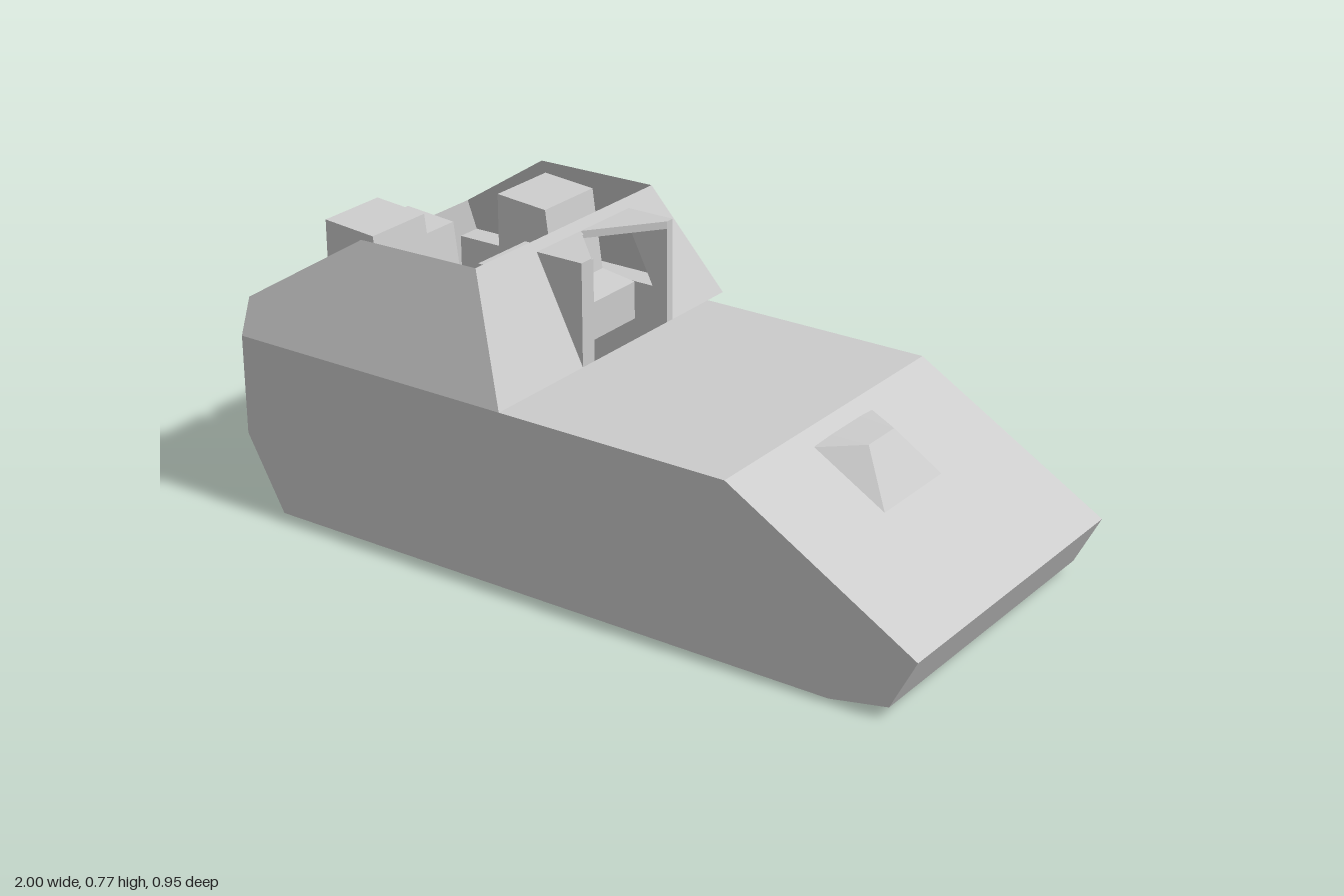
import * as THREE from 'three';
import { ConvexGeometry } from 'three/addons/geometries/ConvexGeometry.js';

const material = new THREE.MeshStandardMaterial({
  color: 0xcccccc, flatShading: true, side: THREE.DoubleSide,
});

const DECK = 0.47;               // height where hull meets the upper armour
const Z_LEFT = 0.475, Z_RIGHT = -0.405;

function add(parent, name, geometry) {
  const mesh = new THREE.Mesh(geometry, material);
  mesh.name = name;
  parent.add(mesh);
  return mesh;
}

const outline = pts => new THREE.Shape(pts.map(p => new THREE.Vector2(...p)));

// Flat sheet from a 2D outline, each point placed in space by a rule
function sheet(pts, rule) {
  const g = new THREE.ShapeGeometry(outline(pts));
  const p = g.attributes.position;
  for (let i = 0; i < p.count; i++) p.setXYZ(i, ...rule(p.getX(i), p.getY(i)));
  g.computeVertexNormals();
  return g;
}

// Side profile in x, y extruded between two z values
function prism(pts, z0, z1) {
  const g = new THREE.ExtrudeGeometry(outline(pts), { depth: z1 - z0, bevelEnabled: false });
  return g.translate(0, 0, z0);
}

// Plates running across the hull along an open side profile
function plates(pts, z0, z1) {
  const v = [];
  for (let i = 0; i < pts.length - 1; i++) {
    const [ax, ay] = pts[i], [bx, by] = pts[i + 1];
    v.push(ax, ay, z0, bx, by, z0, bx, by, z1, ax, ay, z0, bx, by, z1, ax, ay, z1);
  }
  const g = new THREE.BufferGeometry();
  g.setAttribute('position', new THREE.Float32BufferAttribute(v, 3));
  g.computeVertexNormals();
  return g;
}

function box(parent, name, x0, x1, y0, y1, z0, z1) {
  const mesh = add(parent, name, new THREE.BoxGeometry(x1 - x0, y1 - y0, z1 - z0));
  mesh.position.set((x0 + x1) / 2, (y0 + y1) / 2, (z0 + z1) / 2);
}

// Crew seat facing +x: tall backrest block, slanted front, low cushion
function seat(parent, name, x, top, z0, z1) {
  const cushion = top - 0.23;
  add(parent, name, prism([
    [x, cushion - 0.12], [x + 0.29, cushion - 0.12], [x + 0.29, cushion - 0.015],
    [x + 0.185, cushion], [x + 0.155, top - 0.012], [x, top],
  ], z0, z1));
}

export function createModel() {
  const root = new THREE.Group();

  // Hull tub, open under the crew compartment
  const hull = new THREE.Group();
  hull.name = 'hull';
  root.add(hull);
  const profile = [
    [-0.17, DECK], [0.48, DECK], [1, 0.165], [0.93, 0.03], [0.77, 0],
    [-0.89, 0], [-1, 0.2], [-1, DECK],
  ];
  add(hull, 'hullPlates', plates(profile, Z_LEFT, Z_RIGHT));
  for (const [name, z] of [['leftHullSide', Z_LEFT], ['rightHullSide', Z_RIGHT]])
    add(hull, name, sheet(profile, (x, y) => [x, y, z]));
  add(hull, 'sideOverhang', plates([[-1, DECK], [-0.17, DECK]], Z_RIGHT, -Z_LEFT));

  // Sloped open-topped armour around the crew
  const armour = new THREE.Group();
  armour.name = 'crewArmour';
  root.add(armour);
  const wallZ = y => Z_LEFT - (y - DECK) * 0.373;
  const slopeX = y => -0.17 - (y - DECK) * 0.5;
  const side = [[-1, DECK], [-0.17, DECK], [-0.32, 0.77], [-0.68, 0.765], [-1, 0.565]];
  for (const s of [1, -1])
    add(armour, s > 0 ? 'leftArmourWall' : 'rightArmourWall',
      sheet(side, (x, y) => [x, y, s * wallZ(y)]));

  const wideZ = wallZ(DECK), topZ = wallZ(0.77), rearZ = wallZ(0.565);
  add(armour, 'frontArmourWall', sheet([
    [-wideZ, DECK], [-0.22, DECK], [-0.22, 0.735], [0.1, 0.735], [0.1, DECK],
    [wideZ, DECK], [topZ, 0.77], [-topZ, 0.77],
  ], (z, y) => [slopeX(y), y, z]));
  add(armour, 'rearArmourWall', sheet([
    [-wideZ, DECK], [wideZ, DECK], [rearZ, 0.565], [-rearZ, 0.565],
  ], (z, y) => [-1, y, z]));

  // Hood around the front opening: two cheeks and a notched roof
  const hood = new THREE.Group();
  hood.name = 'frontHood';
  root.add(hood);
  const cheek = [[-0.17, DECK], [-0.17, 0.745], [slopeX(0.745), 0.745]];
  add(hood, 'leftCheek', prism(cheek, 0.1, 0.14));
  add(hood, 'rightCheek', prism(cheek, -0.245, -0.22));
  const roof = add(hood, 'hoodRoof', prism([
    [-0.315, -0.245], [-0.17, -0.245], [-0.17, -0.22], [-0.307, -0.04],
    [-0.17, 0.1], [-0.17, 0.14], [-0.315, 0.14],
  ], 0, 0.02));
  roof.rotation.x = Math.PI / 2;
  roof.position.y = 0.745;

  // Crew compartment fittings
  const crew = new THREE.Group();
  crew.name = 'crewCompartment';
  root.add(crew);
  seat(crew, 'rightSeat', -0.66, 0.738, -0.355, -0.15);
  seat(crew, 'rearSeat', -0.957, 0.647, -0.137, 0.065);
  seat(crew, 'leftSeat', -0.863, 0.757, 0.09, 0.29);
  box(crew, 'centreConsole', -0.56, -0.34, 0.25, 0.633, -0.135, 0.06);
  box(crew, 'leftConsole', -0.55, -0.33, 0.25, 0.56, 0.08, 0.305);
  box(crew, 'wallCabinet', -0.52, -0.33, 0.58, 0.705, 0.31, 0.375);

  // Driver's hatch on the sloped bow
  add(root, 'driverHatch', new ConvexGeometry([
    [0.72, 0.328, -0.1], [0.72, 0.328, 0.163], [0.52, 0.445, -0.1], [0.52, 0.445, 0.163],
    [0.63, 0.455, -0.02], [0.63, 0.455, 0.095], [0.53, 0.457, -0.03], [0.53, 0.457, 0.1],
  ].map(p => new THREE.Vector3(...p))));

  return root;
}
